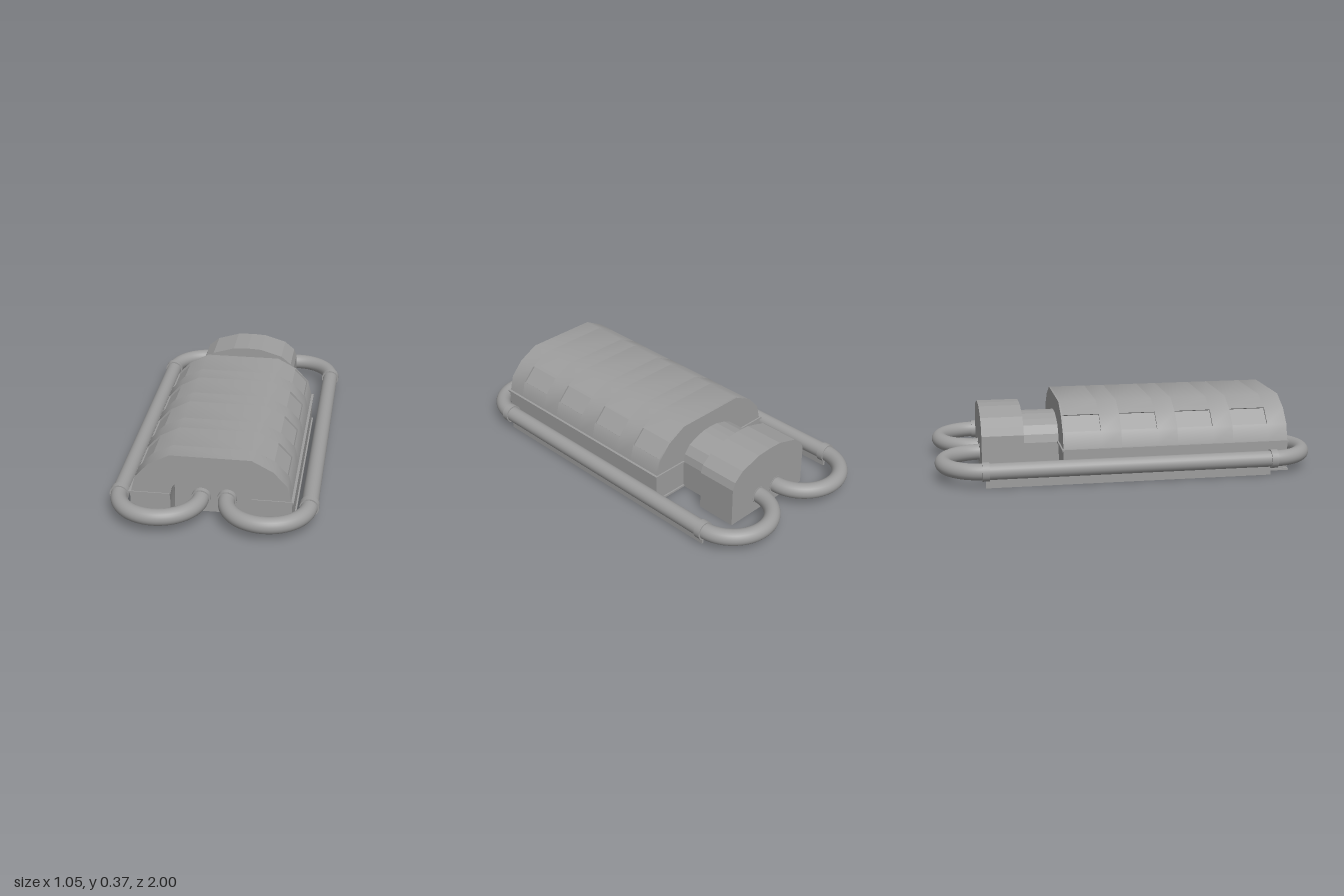
import * as THREE from 'three';
import { mergeGeometries, toCreasedNormals } from 'three/addons/utils/BufferGeometryUtils.js';

const smooth = new THREE.MeshStandardMaterial({ color: 0x9d9d9d });
const flat = new THREE.MeshStandardMaterial({ color: 0x9d9d9d, flatShading: true });

function add(parent, name, geometry, material = flat) {
  const mesh = new THREE.Mesh(geometry, material);
  mesh.name = name;
  parent.add(mesh);
  return mesh;
}

// Mirrors the right-hand half of a profile (bottom to top) into a full outline.
const mirrored = (half) => [
  ...half,
  ...half.filter((p) => p[0] > 0).reverse().map(([x, y]) => [-x, y]),
];

function extrudeZ(points, z0, z1) {
  const shape = new THREE.Shape(points.map(([x, y]) => new THREE.Vector2(x, y)));
  const g = new THREE.ExtrudeGeometry(shape, { depth: z1 - z0, bevelEnabled: false });
  return g.translate(0, 0, z0);
}

function box(parent, name, x0, x1, y0, y1, z0, z1) {
  const mesh = add(parent, name, new THREE.BoxGeometry(x1 - x0, y1 - y0, z1 - z0));
  mesh.position.set((x0 + x1) / 2, (y0 + y1) / 2, (z0 + z1) / 2);
}

// Half profiles, from the bottom up to the middle
const ARCH = [[0.2, 0], [0.2, 0.155], [0.19, 0.197], [0.156, 0.24], [0.11, 0.263], [0.05, 0.28], [0, 0.283]];
const BLOCK = [[0.27, 0], [0.27, 0.215], [0.255, 0.255], [0.2, 0.3], [0.08, 0.336], [0, 0.34]];
const SHELL_LOW = [[0.4, 0], [0.4, 0.155], [0.395, 0.16], [0.374, 0.243]];
const SHELL_TOP = [0.2, 0.373];
// Window recess: lower lip, two inner corners, upper lip
const RECESS = [[0.37, 0.2474], [0.364, 0.2419], [0.294, 0.3155], [0.3, 0.3202]];

// Shell made of strips along z: plain ones alternate with recessed window strips
function shellGeometry() {
  const tunnel = mirrored(ARCH).reverse();
  const plain = [...mirrored([...SHELL_LOW, [0.306, 0.317], SHELL_TOP]), ...tunnel];
  const recessed = [...mirrored([...SHELL_LOW, ...RECESS, SHELL_TOP]), ...tunnel];
  const strips = [];
  let z = -0.345;
  for (let i = 3; i >= 0; i--) {
    const centre = 0.65 - i * 0.297;
    strips.push(extrudeZ(plain, z, centre - 0.095));
    strips.push(extrudeZ(recessed, centre - 0.095, centre + 0.095));
    z = centre + 0.095;
  }
  strips.push(extrudeZ(plain, z, 0.85));
  return mergeGeometries(strips.map((g) => toCreasedNormals(g, THREE.MathUtils.degToRad(30))));
}

// Hose loop: two half circles joined by a straight run
function hosePath(side) {
  const points = [];
  const cx = 0.271, r = 0.206, z = 0.75, steps = 20;
  for (let i = 0; i <= steps; i++) {
    const a = Math.PI * (1 - i / steps);
    points.push(new THREE.Vector3(side * (cx + r * Math.cos(a)), 0.085, z + r * Math.sin(a)));
  }
  for (let i = 1; i < 10; i++) {
    points.push(new THREE.Vector3(side * (cx + r), 0.085, z - (2 * z * i) / 10));
  }
  for (let i = 0; i <= steps; i++) {
    const a = (Math.PI * i) / steps;
    points.push(new THREE.Vector3(side * (cx + r * Math.cos(a)), 0.085, -z - r * Math.sin(a)));
  }
  return new THREE.CatmullRomCurve3(points);
}

export function createModel() {
  const model = new THREE.Group();
  model.name = 'armouredPod';

  // Arched core, visible as the neck behind and inside the front recess
  add(model, 'core', extrudeZ(mirrored(ARCH), -0.54, 0.73));
  add(model, 'endBlock', extrudeZ(mirrored(BLOCK), -0.755, -0.535));
  add(model, 'shell', shellGeometry(), smooth);

  for (const side of [1, -1]) {
    const half = new THREE.Group();
    half.name = side > 0 ? 'leftSide' : 'rightSide';
    model.add(half);

    // Thin ledges at the foot and the shoulder of the shell
    const [x0, x1] = side > 0 ? [0.201, 0.408] : [-0.408, -0.201];
    box(half, 'footLedge', x0, x1, 0, 0.01, -0.353, 0.855);
    box(half, 'shoulderLedge', x0, x1, 0.151, 0.161, -0.353, 0.855);

    // Hose with its collars and the rail beneath it
    add(half, 'hose', new THREE.TubeGeometry(hosePath(side), 160, 0.042, 24), smooth);
    for (const x of [0.065, 0.477]) {
      for (const z of [-0.75, 0.75]) {
        const collar = add(half, 'collar', new THREE.CylinderGeometry(0.049, 0.049, 0.036, 28), smooth);
        collar.rotation.x = Math.PI / 2;
        collar.position.set(side * x, 0.085, x < 0.1 ? z * 0.985 : z);
      }
    }
    box(half, 'rail', side * 0.477 - 0.006, side * 0.477 + 0.006, 0, 0.06, -0.75, 0.735);
  }
  return model;
}
